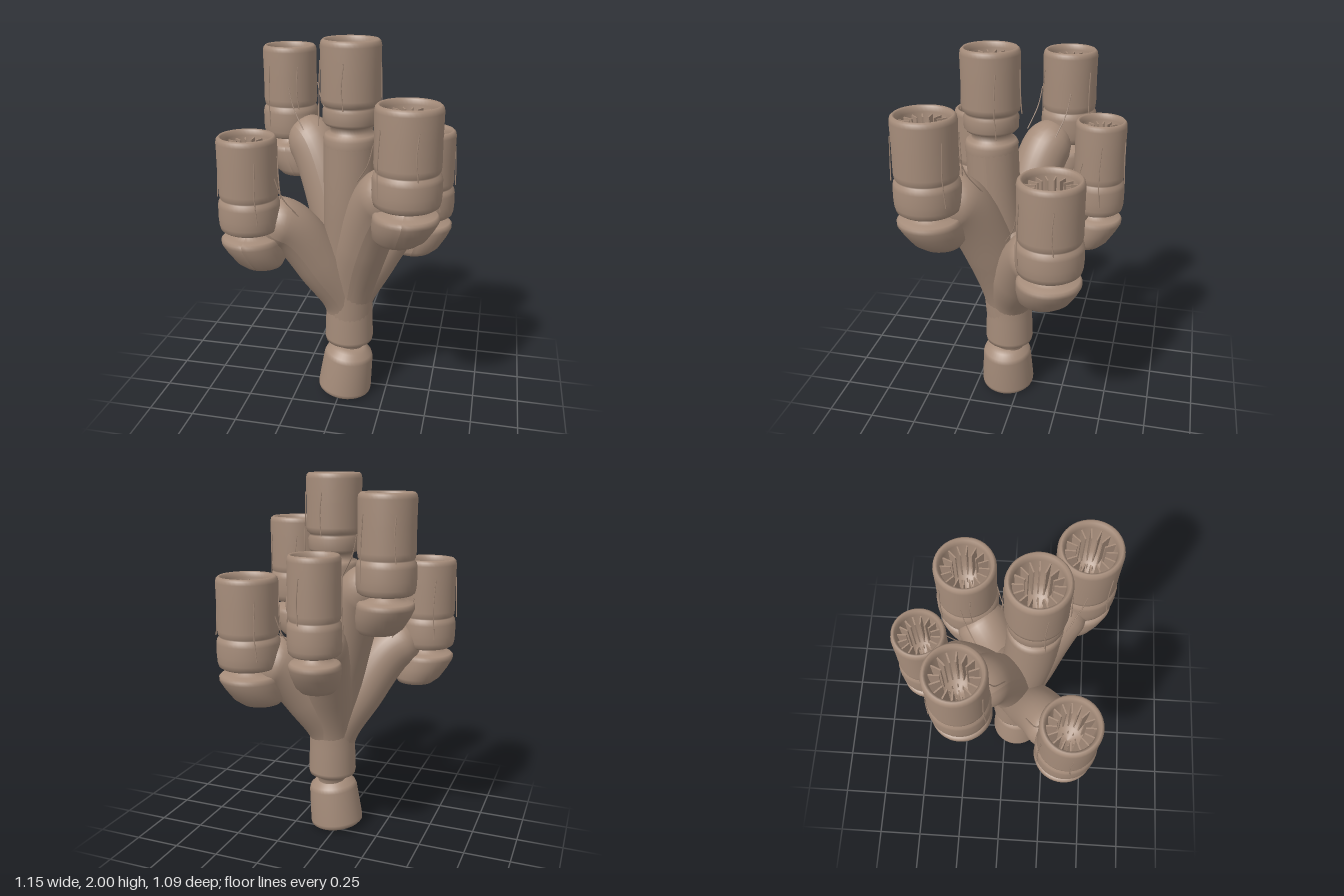
import * as THREE from 'three';

const mat = new THREE.MeshStandardMaterial({ color: 0xa58c7a, side: THREE.DoubleSide });
const V = (x, y, z) => new THREE.Vector3(x, y, z);
const TRUNK = V(0.04, 0, 0.06);

function add(parent, name, geometry) {
  const mesh = new THREE.Mesh(geometry, mat);
  mesh.name = name;
  parent.add(mesh);
  return mesh;
}

// Lathe from [radius factor, height] pairs
function lathe(points, r) {
  return new THREE.LatheGeometry(points.map(([x, y]) => new THREE.Vector2(x * r, y)), 40);
}

// Tube whose radius follows radiusAt(u) along its length
function taperedTube(points, radiusAt, rings = 48, sides = 28) {
  const path = new THREE.CatmullRomCurve3(points);
  const geo = new THREE.TubeGeometry(path, rings, 1, sides);
  const pos = geo.attributes.position, p = new THREE.Vector3();
  for (let i = 0; i <= rings; i++) {
    const centre = path.getPointAt(i / rings);
    for (let j = 0; j <= sides; j++) {
      const k = i * (sides + 1) + j;
      p.fromBufferAttribute(pos, k).sub(centre).multiplyScalar(radiusAt(i / rings)).add(centre);
      pos.setXYZ(k, p.x, p.y, p.z);
    }
  }
  geo.computeVertexNormals();
  return geo;
}

function filament(parent, points) {
  add(parent, 'filament', new THREE.TubeGeometry(new THREE.CatmullRomCurve3(points), 10, 0.003, 5));
}

// Profiles are measured down from the rim
const elbowProfile = [[0, -0.7], [0.4, -0.7], [0.66, -0.69], [0.84, -0.66], [0.96, -0.6],
  [1.01, -0.555], [1, -0.535], [0.93, -0.525], [0.75, -0.52], [0.52, -0.505], [0.48, -0.48], [0, -0.46]];
const collarProfile = [[0, -0.47], [0.5, -0.475], [0.9, -0.485], [0.99, -0.475], [1.03, -0.45],
  [1.045, -0.41], [1.04, -0.35], [1.01, -0.33], [0.95, -0.318], [0.94, -0.312]];
const stemProfile = [[0.9, -0.52], [0.92, -0.48], [0.85, -0.46], [0.68, -0.45], [0.68, -0.42],
  [0.85, -0.41], [0.93, -0.395], [0.94, -0.34], [0.88, -0.325], [0.88, -0.315]];
const tubeProfile = [[0.98, -0.305], [1, -0.28], [0.99, -0.15], [1, -0.03], [0.97, -0.01], [0.9, 0],
  [0.83, -0.006], [0.78, -0.03], [0.75, -0.12], [0.64, -0.21], [0.4, -0.26], [0, -0.28]];

// Hollow cup with its radial ridges
function makeCup(r, baseProfile) {
  const cup = new THREE.Group();
  cup.name = 'cup';
  add(cup, 'cupWall', lathe([...baseProfile, ...tubeProfile], r));
  const count = 16;
  for (let i = 0; i < count; i++) {
    const a = (i / count) * Math.PI * 2;
    const ridge = add(cup, 'ridge', new THREE.BoxGeometry(0.34 * r, 0.21, 0.007));
    ridge.position.set(Math.cos(a) * 0.61 * r, -0.145, -Math.sin(a) * 0.61 * r);
    ridge.rotation.y = a;
    if (i % 2) continue;
    const peg = add(cup, 'peg', new THREE.CylinderGeometry(0.003, 0.004, 0.05, 6));
    peg.position.set(Math.cos(a) * 0.24 * r, -0.255, Math.sin(a) * 0.24 * r);
  }
  return cup;
}

// Fine filaments lying along the cup
function addFilaments(cup, r, outward) {
  for (const [offset, low, high] of [[1.6, -0.42, -0.1], [-1.6, -0.42, -0.1], [0.4, -0.32, -0.1], [-2.7, -0.32, -0.1]]) {
    const a = outward + offset;
    const at = (k, y, da = 0) => V(Math.cos(a + da) * r * k, y, Math.sin(a + da) * r * k);
    filament(cup, [at(1.07, low), at(1.04, (low + high) / 2, 0.06), at(1.01, high)]);
  }
}

// Rounded knob under a cup, its underside drawn in towards the trunk
function makeElbow(r, out) {
  const geo = lathe(elbowProfile, r);
  const pos = geo.attributes.position;
  for (let i = 0; i < pos.count; i++) {
    const shift = 0.42 * Math.min(0, pos.getY(i) + 0.55);
    pos.setX(i, pos.getX(i) + out.x * shift);
    pos.setZ(i, pos.getZ(i) + out.z * shift);
  }
  geo.computeVertexNormals();
  return geo;
}

export function createModel() {
  const model = new THREE.Group();
  model.name = 'branchingCoral';

  // Tilted foot below a narrow neck
  const foot = add(model, 'foot', lathe([[0, 0], [0.135, 0], [0.148, 0.012], [0.15, 0.03], [0.137, 0.22],
    [0.128, 0.245], [0.1, 0.268], [0.08, 0.285], [0, 0.29]], 1));
  foot.position.set(0.016, 0.018, 0.075);
  foot.rotation.z = -0.11;

  // Trunk and the swelling where the branches part
  const trunk = add(model, 'trunk', lathe([[0.085, 0.27], [0.08, 0.305], [0.105, 0.325], [0.13, 0.338],
    [0.134, 0.36], [0.129, 0.5], [0.128, 0.65], [0.145, 0.8], [0.16, 0.92], [0.13, 1.05], [0, 1.12]], 1));
  trunk.position.copy(TRUNK);

  // Side branches: cup x, cup z, rim height, cup radius, how far out the arm is at its first bend
  const branches = [
    [-0.05, -0.40, 1.64, 0.13, 0.22],
    [-0.34, -0.19, 1.92, 0.143, 0.22],
    [0.40, -0.23, 1.49, 0.163, 0.21],
    [-0.42, 0.33, 1.55, 0.15, 0.28],
    [0.38, 0.38, 1.75, 0.16, 0.22],
  ];
  for (const [x, z, top, r, bend] of branches) {
    const branch = new THREE.Group();
    branch.name = 'branch';
    model.add(branch);
    const notch = top - 0.51;
    const out = V(x - TRUNK.x, 0, z - TRUNK.z).normalize();
    const along = (f, y) => V(TRUNK.x + (x - TRUNK.x) * f, y, TRUNK.z + (z - TRUNK.z) * f);

    // Arm climbs steadily into the inner side of the cup and ends rounded
    const armRadius = Math.max(0.132, 0.9 * r);
    const arm = [along(0, 0.4), along((bend - 0.18) * 0.45, 0.58), along(bend, 0.79 + 0.6 * (notch - 1.03)),
      along(0.62, notch + 0.01), along(0.9, notch + 0.075)];
    add(branch, 'arm', taperedTube(arm, (u) => {
      const body = THREE.MathUtils.lerp(0.118, armRadius, THREE.MathUtils.smoothstep(u, 0.1, 0.55));
      const tip = Math.max(0, (u - 0.88) / 0.12);
      return body * Math.sqrt(Math.max(0.0001, 1 - tip * tip));
    }));

    add(branch, 'elbow', makeElbow(r, out)).position.set(x, top, z);
    const cup = makeCup(r, collarProfile);
    cup.position.set(x, top, z);
    addFilaments(cup, r, Math.atan2(out.z, out.x));
    branch.add(cup);

    // Filaments running from the cup down onto the arm
    for (const s of [-1, 1]) {
      const side = V(-out.z, 0, out.x).multiplyScalar(s * r * 0.72);
      filament(branch, [[0.72, -0.2], [0.95, -0.3], [1.5, -0.41]].map(([k, y]) =>
        V(x, top + y, z).addScaledVector(out, -k * r).add(side)));
    }
  }

  // Tall central stem with the highest cup
  const stem = [V(0.04, 0.42, 0.06), V(0.045, 0.8, 0.08), V(0.055, 1.2, 0.125), V(0.06, 1.5, 0.14)];
  add(model, 'centralStem', taperedTube(stem, (u) => 0.122 + 0.013 * Math.min(1, u * 3)));
  const centralCup = makeCup(0.149, stemProfile);
  centralCup.position.set(0.06, 2, 0.14);
  addFilaments(centralCup, 0.149, 1.2);
  model.add(centralCup);

  return model;
}
